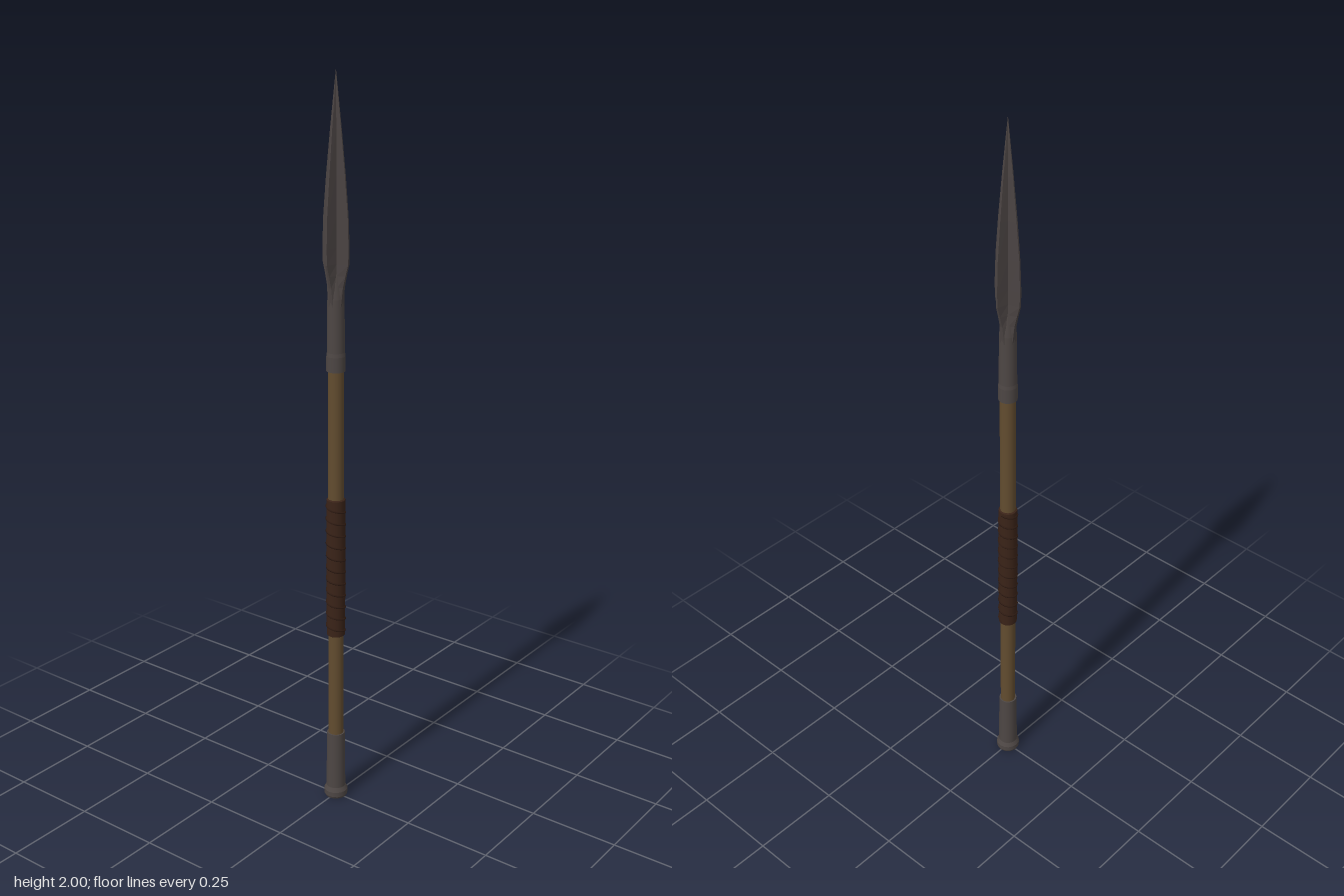
import * as THREE from 'three';

const material = (name, color, options = {}) => {
  const m = new THREE.MeshStandardMaterial({ color, ...options });
  m.name = name;
  return m;
};

export function createModel() {
  const spear = new THREE.Group();
  spear.name = 'spear';
  const iron = material('dark iron', 0x4d4644);
  const bladeIron = material('blade iron', 0x4a4342, { flatShading: true });
  const wood = material('wood', 0x624c2f);
  const leather = material('leather', 0x3a2318);
  const cord = material('dark leather', 0x301c13);

  const add = (name, geometry, mat) => {
    const mesh = new THREE.Mesh(geometry, mat);
    mesh.name = name;
    spear.add(mesh);
    return mesh;
  };

  // Turned part from [radius, height] pairs; each band keeps a crisp edge
  const turned = (name, profile, mat) => {
    const part = new THREE.Group();
    part.name = name;
    for (let i = 0; i < profile.length - 1; i++) {
      const band = profile.slice(i, i + 2).map(([r, y]) => new THREE.Vector2(r, y));
      const mesh = new THREE.Mesh(new THREE.LatheGeometry(band, 16), mat);
      mesh.name = name + 'Band';
      part.add(mesh);
    }
    spear.add(part);
  };

  // Wooden shaft
  const shaft = add('shaft', new THREE.CylinderGeometry(0.021, 0.021, 1.2, 16), wood);
  shaft.position.y = 0.75;

  // Butt cap with a flared foot
  turned('buttCap', [[0, 0], [0.03, 0], [0.033, 0.006], [0.033, 0.02], [0.027, 0.032],
    [0.025, 0.2], [0.02, 0.2]], iron);

  // Socket that holds the blade
  turned('socket', [[0.02, 1.25], [0.025, 1.25], [0.025, 1.29], [0.0235, 1.3],
    [0.022, 1.44], [0.014, 1.51]], iron);

  // Leather grip with a wound strap
  turned('grip', [[0.02, 0.5], [0.025, 0.503], [0.026, 0.7], [0.025, 0.897], [0.02, 0.9]], leather);
  const turns = 11;
  const coil = [];
  for (let i = 0; i <= turns * 12; i++) {
    const a = (i / 12) * Math.PI * 2;
    coil.push(new THREE.Vector3(Math.cos(a) * 0.0245, 0.51 + (0.38 * i) / (turns * 12), Math.sin(a) * 0.0245));
  }
  add('gripStrap', new THREE.TubeGeometry(new THREE.CatmullRomCurve3(coil), turns * 16, 0.0035, 5), cord);

  // Four-finned blade: [height, fin reach, valley radius, half edge thickness]
  const sections = [
    [1.42, 0.021, 0.019, 0.007], [1.47, 0.025, 0.016, 0.004], [1.5, 0.032, 0.014, 0.003],
    [1.53, 0.04, 0.013, 0.0025], [1.57, 0.041, 0.0125, 0.0025], [1.65, 0.038, 0.012, 0.002],
    [1.75, 0.029, 0.01, 0.002], [1.86, 0.017, 0.007, 0.0015], [1.94, 0.0075, 0.004, 0.001],
    [2, 0.0004, 0.0003, 0.0001],
  ];
  const rings = sections.map(([y, reach, valley, edge]) => {
    const ring = [];
    for (let k = 0; k < 4; k++) {
      const a = (k * Math.PI) / 2, c = Math.cos(a), s = Math.sin(a);
      const d = valley * Math.SQRT1_2;
      for (const [u, v] of [[reach, -edge], [reach, edge], [d, d]]) {
        ring.push([u * c - v * s, y, u * s + v * c]);
      }
    }
    return ring;
  });
  const positions = [];
  for (let r = 0; r < rings.length - 1; r++) {
    const lower = rings[r], upper = rings[r + 1];
    for (let i = 0; i < 12; i++) {
      const j = (i + 1) % 12;
      positions.push(...lower[i], ...upper[i], ...lower[j], ...lower[j], ...upper[i], ...upper[j]);
    }
  }
  const bladeGeometry = new THREE.BufferGeometry();
  bladeGeometry.setAttribute('position', new THREE.Float32BufferAttribute(positions, 3));
  bladeGeometry.computeVertexNormals();
  add('blade', bladeGeometry, bladeIron);

  return spear;
}
